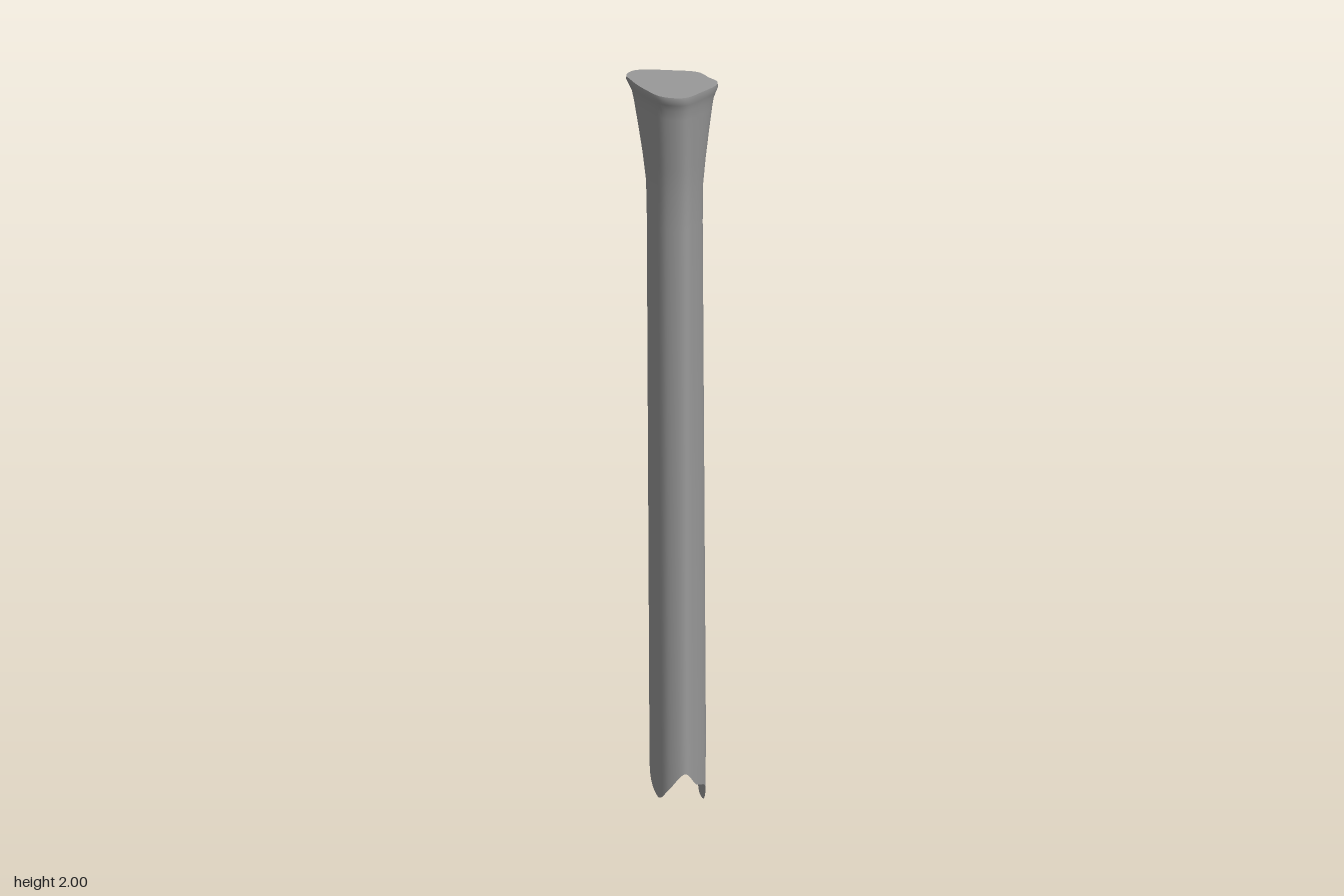
import * as THREE from 'three';

const N = 96;

// smooth closed loop through a few control points, sampled N times
function loop(points) {
  const curve = new THREE.CatmullRomCurve3(points.map(p => new THREE.Vector3(...p)), true, 'centripetal');
  return Array.from({ length: N }, (_, i) => curve.getPoint(i / N));
}

// skin between rings of equal count, listed from bottom to top
function loft(rings) {
  const pos = [], idx = [];
  rings.forEach(r => r.forEach(p => pos.push(p.x, p.y, p.z)));
  for (let k = 0; k < rings.length - 1; k++) {
    for (let i = 0; i < N; i++) {
      const j = (i + 1) % N, a = k * N + i, b = k * N + j;
      idx.push(a, b, a + N, b, b + N, a + N);
    }
  }
  const g = new THREE.BufferGeometry();
  g.setAttribute('position', new THREE.Float32BufferAttribute(pos, 3));
  g.setIndex(idx);
  g.computeVertexNormals();
  return g;
}

export function createModel() {
  const group = new THREE.Group();
  const material = new THREE.MeshStandardMaterial({ color: 0x999999, side: THREE.DoubleSide });

  // scalloped lower edge: two notches at the +-z corners, two tips at +-x
  const foot = loop([
    [-0.02, 0.187, -0.09], [-0.049, 0.12, -0.07], [-0.057, 0.068, -0.033],
    [-0.055, 0.058, 0.015], [-0.043, 0.12, 0.06], [-0.008, 0.19, 0.09],
    [0.03, 0.128, 0.073], [0.068, 0.085, 0.041], [0.076, 0.006, 0.011],
    [0.074, 0.006, -0.01], [0.067, 0.085, -0.038], [0.03, 0.125, -0.067],
  ]);
  // lopsided outline of the flared head
  const head = loop([
    [-0.05, 2, -0.105], [-0.078, 2, -0.085], [-0.082, 2, -0.035],
    [-0.076, 2, 0.025], [-0.06, 2, 0.08], [-0.022, 2, 0.103],
    [0.025, 2, 0.08], [0.073, 2, 0.044], [0.08, 2, 0.022],
    [0.074, 2, -0.005], [0.066, 2, -0.046], [0.02, 2, -0.077],
  ]);

  // shaft section, slimmer towards the top
  const shaftRing = y => foot.map(p => {
    const t = Math.max(0, (y - 0.2) / 1.58);
    const sx = 1 - t * (p.x > 0 ? 0.32 : 0.08);
    return new THREE.Vector3(p.x * sx, y, p.z * (1 - 0.2 * t));
  });
  const neck = shaftRing(1.78);
  const flareRing = ([y, t]) => neck.map((p, i) => p.clone().lerp(head[i], t).setY(y));

  const rings = [foot];
  for (const y of [0.25, 0.6, 1, 1.4, 1.7]) rings.push(shaftRing(y));
  const flare = [[1.78, 0.03], [1.84, 0.2], [1.9, 0.42], [1.95, 0.62], [1.97, 0.72], [1.983, 0.88], [1.992, 1], [2, 0.99]];
  rings.push(...flare.map(flareRing));
  const shaft = new THREE.Mesh(loft(rings), material);
  shaft.name = 'shaft';
  group.add(shaft);

  // flat face closing the head
  const rim = rings[rings.length - 1];
  const centre = new THREE.Vector3(-0.01, 2, 0);
  const cap = new THREE.Mesh(loft([rim, rim.map(() => centre)]), material);
  cap.name = 'headCap';
  group.add(cap);

  return group;
}
